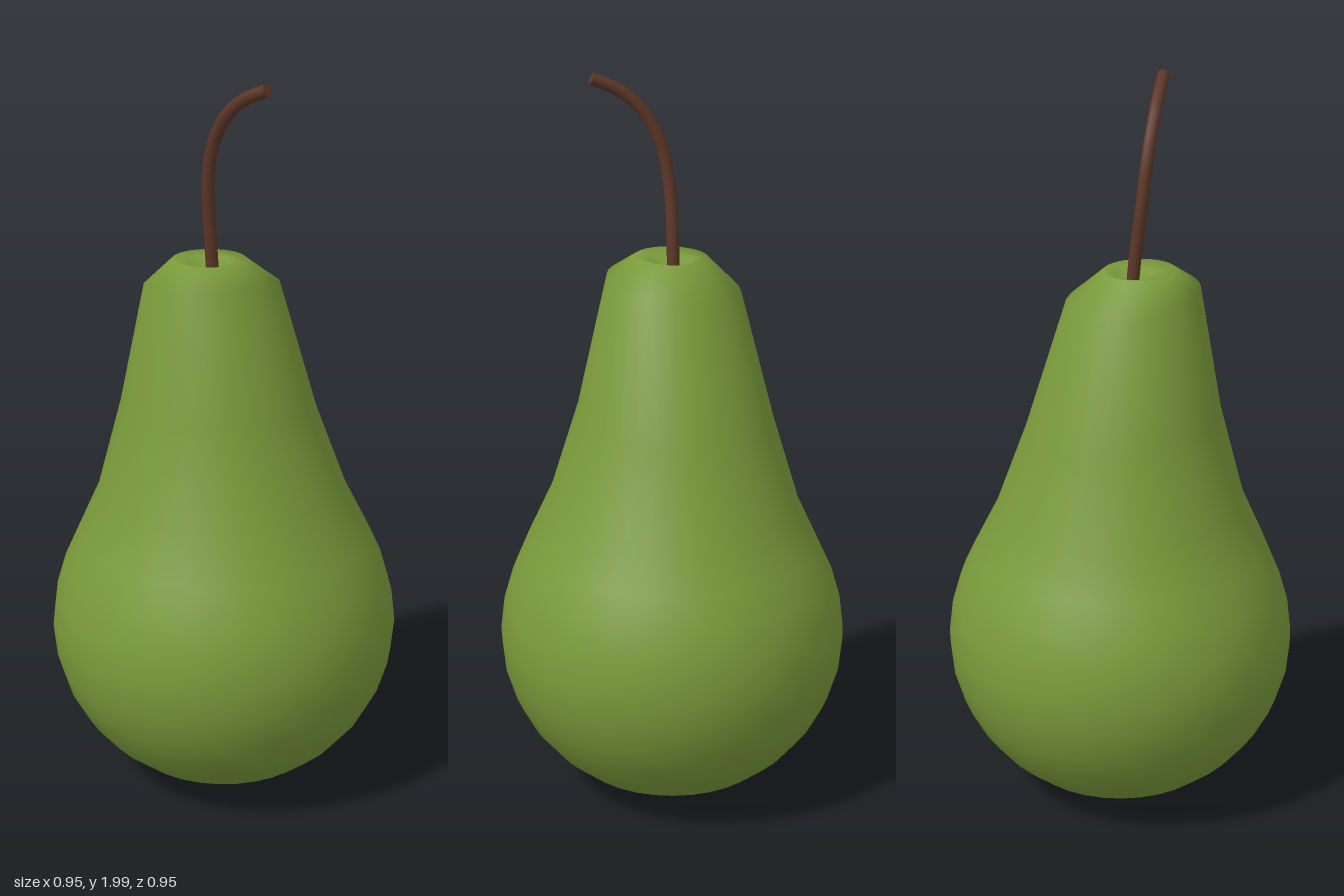
import * as THREE from 'three';
import { mergeVertices } from 'three/addons/utils/BufferGeometryUtils.js';

// Stacked rings: [y, radius, centre x, centre z, tilt along x, tilt along z]
function fruitRings() {
  const rings = [];
  // round belly, from the bottom pole to the widest ring
  for (let i = 0; i <= 8; i++) {
    const a = (i / 8) * Math.PI / 2;
    rings.push([0.005 + 0.465 * (1 - Math.cos(a)), 0.473 * Math.sin(a), 0, 0, 0, 0]);
  }
  // shoulder, neck, rim and the hollow around the stem
  rings.push(
    [0.56, 0.462, 0, 0, 0, 0],
    [0.645, 0.437, 0, 0, 0, 0],
    [0.725, 0.401, 0, 0, -0.01, 0.01],
    [0.86, 0.337, 0, -0.007, -0.04, 0.06],
    [1.1, 0.262, -0.012, -0.008, -0.09, 0.1],
    [1.442, 0.178, -0.038, 0.002, -0.06, 0.15],
    [1.511, 0.096, -0.052, 0.012, -0.01, 0.03],
    [1.5, 0.055, -0.045, 0.006, 0, 0],
    [1.47, 0, -0.038, 0, 0, 0],
  );
  return rings;
}

function fruitGeometry() {
  const rings = fruitRings();
  const lathe = new THREE.LatheGeometry(rings.map(([y, r]) => new THREE.Vector2(r, y)), 32);
  const p = lathe.attributes.position;
  // lean and tilt every ring
  for (let i = 0; i < p.count; i++) {
    const [y, , cx, cz, tx, tz] = rings[i % rings.length];
    const x = p.getX(i), z = p.getZ(i);
    p.setXYZ(i, x + cx, y + tx * x + tz * z, z + cz);
  }
  lathe.deleteAttribute('uv');
  lathe.deleteAttribute('normal');
  const geometry = mergeVertices(lathe, 1e-5);
  geometry.computeVertexNormals();
  return geometry;
}

export function createModel() {
  const green = new THREE.MeshStandardMaterial({ name: 'pear green', color: 0x7a9a3a });
  const brown = new THREE.MeshStandardMaterial({ name: 'stem brown', color: 0x5c3626 });
  const model = new THREE.Group();
  model.name = 'pear';

  const fruit = new THREE.Mesh(fruitGeometry(), green);
  fruit.name = 'fruit';
  model.add(fruit);

  // curved stem bending forward
  const curve = new THREE.CatmullRomCurve3([
    [-0.034, 1.44, 0.003], [-0.042, 1.54, 0.006], [-0.057, 1.7, 0.018],
    [-0.058, 1.81, 0.041], [-0.046, 1.9, 0.09], [-0.026, 1.95, 0.145], [0.002, 1.982, 0.21],
  ].map((a) => new THREE.Vector3(...a)));
  const stem = new THREE.Group();
  stem.name = 'stem';
  const shaft = new THREE.Mesh(new THREE.TubeGeometry(curve, 20, 0.017, 10), brown);
  shaft.name = 'stemShaft';
  // flat cut end
  const tip = new THREE.Mesh(new THREE.CircleGeometry(0.017, 10), brown);
  tip.name = 'stemTip';
  tip.position.copy(curve.getPoint(1));
  tip.quaternion.setFromUnitVectors(new THREE.Vector3(0, 0, 1), curve.getTangent(1));
  stem.add(shaft, tip);
  model.add(stem);

  return model;
}
